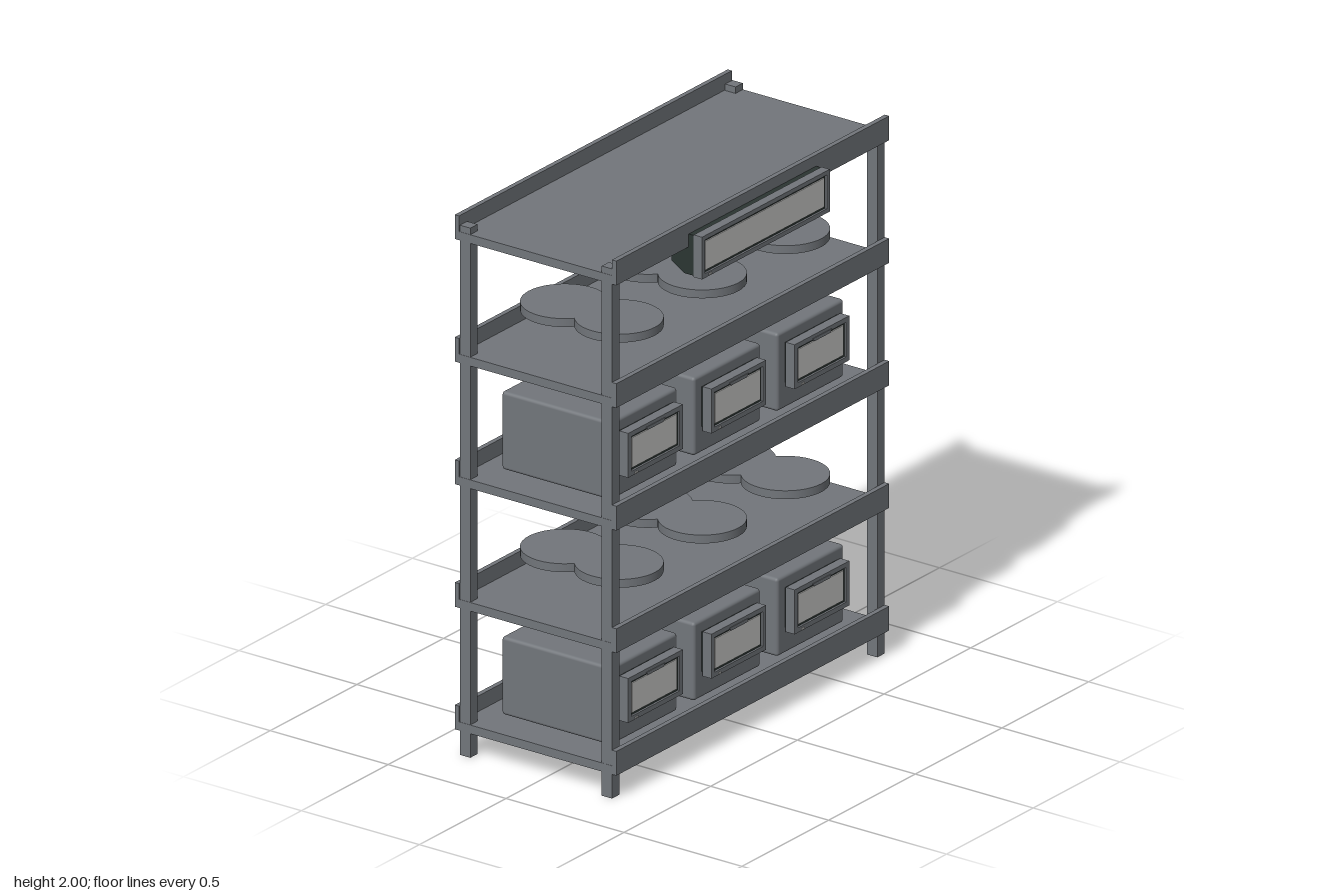
import * as THREE from 'three';
import { RoundedBoxGeometry } from 'three/addons/geometries/RoundedBoxGeometry.js';

const mat = (name, color) => Object.assign(new THREE.MeshStandardMaterial({ color }), { name });

export function createModel() {
  const steel = mat('steelGrey', 0x72767b);
  const dark = mat('darkCasing', 0x2b3532);
  const pale = mat('paleScreen', 0xcacac8);
  const root = new THREE.Group();
  root.name = 'storageRack';

  const add = (parent, name, geo, material, x = 0, y = 0, z = 0) => {
    const m = new THREE.Mesh(geo, material);
    m.name = name;
    m.position.set(x, y, z);
    parent.add(m);
    return m;
  };
  // box given by its min and max corners
  const box = (parent, name, material, x0, x1, y0, y1, z0, z1) =>
    add(parent, name, new THREE.BoxGeometry(x1 - x0, y1 - y0, z1 - z0), material,
      (x0 + x1) / 2, (y0 + y1) / 2, (z0 + z1) / 2);

  // corner posts
  for (const s of [-1, 1]) {
    for (const z of [-0.331, 0.27]) {
      add(root, 'post', new THREE.BoxGeometry(0.042, 1.966, 0.044), steel, s * 0.765, 0.983, z);
    }
  }

  // shelves with a raised rim at front and back
  const levels = [0, 1, 2, 3, 4].map((i) => 0.09 + i * 0.455);
  for (const y of levels) {
    const shelf = new THREE.Group();
    shelf.name = 'shelf';
    root.add(shelf);
    box(shelf, 'shelfBoard', steel, -0.787, 0.787, y, y + 0.032, -0.356, 0.292);
    box(shelf, 'frontRim', steel, -0.787, 0.787, y, y + 0.09, 0.292, 0.311);
    box(shelf, 'backRim', steel, -0.787, 0.787, y, y + 0.09, -0.374, -0.356);
  }

  // display: hollow frame, dark bezel and pale screen; local z = 0 is the back of the frame
  const rect = (Cls, w, h) => new Cls([
    new THREE.Vector2(-w / 2, -h / 2), new THREE.Vector2(w / 2, -h / 2),
    new THREE.Vector2(w / 2, h / 2), new THREE.Vector2(-w / 2, h / 2),
  ]);
  const display = (name, w, h, border, depth) => {
    const g = new THREE.Group();
    g.name = name;
    const shape = rect(THREE.Shape, w, h);
    shape.holes.push(rect(THREE.Path, w - 2 * border, h - 2 * border));
    add(g, 'displayFrame', new THREE.ExtrudeGeometry(shape, { depth, bevelEnabled: false }), steel);
    const iw = w - 2 * border, ih = h - 2 * border;
    box(g, 'bezel', dark, -iw / 2, iw / 2, -ih / 2, ih / 2, 0, depth - 0.008);
    const sw = iw / 2 - 0.009, sh = ih / 2 - 0.009;
    box(g, 'screen', pale, -sw, sw, -sh, sh, depth - 0.008, depth - 0.004);
    box(g, 'indicator', pale, -w / 2 + 0.04, -w / 2 + 0.055, -h / 2 + 0.003, -h / 2 + 0.009, depth, depth + 0.003);
    return g;
  };

  const columns = [-0.482, -0.002, 0.478];

  // bins with a small display on the front
  const binGeo = new RoundedBoxGeometry(0.385, 0.29, 0.465, 2, 0.012);
  const tab = new THREE.Shape([[-0.055, 0.07], [-0.045, 0.058], [0.045, 0.058], [0.055, 0.07]]
    .map(([x, y]) => new THREE.Vector2(x, y)));
  const tabGeo = new THREE.ExtrudeGeometry(tab, { depth: 0.01, bevelEnabled: false });
  for (const y of [levels[0], levels[2]]) {
    for (const x of columns) {
      const bin = new THREE.Group();
      bin.name = 'bin';
      bin.position.set(x, y + 0.19, -0.027);
      root.add(bin);
      add(bin, 'binBody', binGeo, steel);
      box(bin, 'displayMount', dark, -0.15, 0.15, -0.048, 0.1, 0.22, 0.244);
      const d = display('binDisplay', 0.315, 0.165, 0.018, 0.038);
      d.position.set(0, 0.023, 0.242);
      add(d, 'topTab', tabGeo, steel, 0, 0, 0.03);
      bin.add(d);
    }
  }

  // overlapping pairs of round plates
  const discGeo = new THREE.CylinderGeometry(0.153, 0.153, 0.031, 40);
  for (const y of [levels[1], levels[3]]) {
    for (const x of columns) {
      for (const z of [0.098, -0.132]) add(root, 'roundPlate', discGeo, steel, x, y + 0.165, z);
    }
  }

  // wide display near the top with a tapered dark casing
  const sign = display('wideDisplay', 0.737, 0.157, 0.016, 0.035);
  sign.position.set(-0.002, 1.882, 0.333);
  root.add(sign);
  const profile = new THREE.Shape([[0, -0.074], [0, 0.076], [-0.08, 0.076], [-0.094, 0.06],
    [-0.094, -0.04], [-0.04, -0.074]].map(([z, y]) => new THREE.Vector2(z, y)));
  const casing = new THREE.ExtrudeGeometry(profile, { depth: 0.735, bevelEnabled: false });
  casing.rotateY(-Math.PI / 2).translate(0.3675, 0, 0);
  add(sign, 'displayCasing', casing, dark);

  return root;
}
